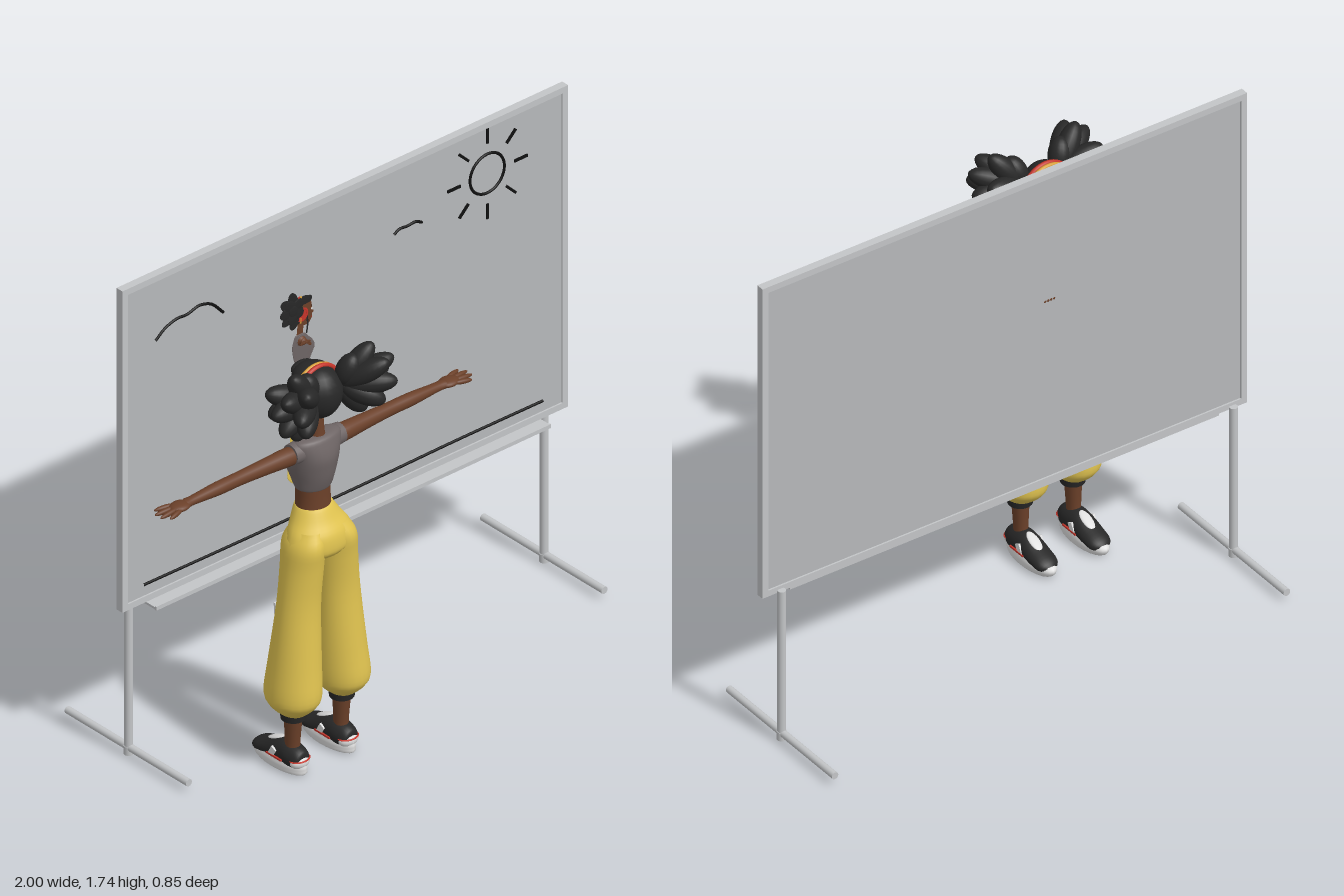
import * as THREE from 'three';

const mat = (name, color) => Object.assign(new THREE.MeshStandardMaterial({ color }), { name });
const M = {
  skin: mat('brown skin', 0x6b4029),
  black: mat('soft black', 0x272727),
  top: mat('warm grey cloth', 0x6e6565),
  pants: mat('yellow cloth', 0xe0c350),
  red: mat('red', 0xc6352a),
  white: mat('off white', 0xdedede),
  metal: mat('light metal', 0xc3c5c7),
  panel: mat('board grey', 0xb6b8ba),
  gold: mat('gold', 0xd9a036),
  ink: mat('marker ink', 0x101010),
};

function add(parent, name, geo, material, x = 0, y = 0, z = 0) {
  const m = new THREE.Mesh(geo, material);
  m.name = name;
  m.position.set(x, y, z);
  parent.add(m);
  return m;
}

const V = (x, y, z) => new THREE.Vector3(x, y, z);

// Smooth loft up the y axis; each section is [y, cx, cz, rx, rz]
function loft(sections, n = 24, sub = 4) {
  const mid = new THREE.CatmullRomCurve3(sections.map(s => V(s[1], s[0], s[2])), false, 'catmullrom', 0.5);
  const rad = new THREE.CatmullRomCurve3(sections.map(s => V(s[3], 0, s[4])), false, 'catmullrom', 0.5);
  const rows = (sections.length - 1) * sub;
  const pos = [], idx = [];
  for (let r = 0; r <= rows; r++) {
    const c = mid.getPoint(r / rows), q = rad.getPoint(r / rows);
    for (let i = 0; i < n; i++) {
      const a = (i / n) * Math.PI * 2;
      pos.push(c.x + Math.max(q.x, 0) * Math.cos(a), c.y, c.z + Math.max(q.z, 0) * Math.sin(a));
      if (r < rows) {
        const j = (i + 1) % n, p = r * n;
        idx.push(p + i, p + n + i, p + j, p + j, p + n + i, p + n + j);
      }
    }
  }
  const g = new THREE.BufferGeometry();
  g.setAttribute('position', new THREE.Float32BufferAttribute(pos, 3));
  g.setIndex(idx);
  g.computeVertexNormals();
  return g;
}

const tube = (pts, r, seg = 16) =>
  new THREE.TubeGeometry(new THREE.CatmullRomCurve3(pts.map(p => V(...p))), seg, r, 8);

const ball = (rx, ry, rz) => new THREE.SphereGeometry(1, 20, 14).scale(rx, ry, rz);

// Ellipsoid stretched between two points
function lobe(parent, name, a, b, r, material) {
  const p = V(...a), d = V(...b).sub(p), len = d.length();
  const m = add(parent, name, ball(r, len / 2, r), material);
  m.position.copy(p).addScaledVector(d, 0.5);
  m.quaternion.setFromUnitVectors(V(0, 1, 0), d.normalize());
  return m;
}

// Standing person with arms out, facing -z, centred on x = 0
function makePerson() {
  const g = new THREE.Group();

  // Torso and head
  add(g, 'waist', loft([[0.9, 0, 0.248, 0.062, 0.054], [0.96, 0, 0.246, 0.058, 0.052], [1.02, 0, 0.246, 0.06, 0.05]]), M.skin);
  add(g, 'cropTop', loft([[0.998, 0, 0.246, 0.058, 0.05], [1.0, 0, 0.246, 0.064, 0.054], [1.035, 0, 0.242, 0.072, 0.07],
    [1.075, 0, 0.237, 0.083, 0.083], [1.12, 0, 0.248, 0.088, 0.076], [1.165, 0, 0.262, 0.094, 0.05],
    [1.187, 0, 0.265, 0.075, 0.034], [1.192, 0, 0.265, 0, 0]]), M.top);
  add(g, 'neck', loft([[1.17, 0, 0.267, 0.034, 0.028], [1.2, 0, 0.266, 0.024, 0.023], [1.28, 0, 0.255, 0.025, 0.026]], 16), M.skin);
  add(g, 'head', loft([[1.235, 0, 0.222, 0, 0], [1.24, 0, 0.222, 0.02, 0.024], [1.27, 0, 0.232, 0.052, 0.055],
    [1.32, 0, 0.245, 0.066, 0.072], [1.37, 0, 0.25, 0.064, 0.07], [1.41, 0, 0.25, 0.045, 0.05], [1.425, 0, 0.25, 0, 0]]), M.skin);
  add(g, 'nose', ball(0.01, 0.011, 0.014), M.skin, 0, 1.305, 0.176);
  add(g, 'lips', ball(0.019, 0.007, 0.009), M.red, 0, 1.272, 0.182);

  // Hair cap, fringe and loose strands
  add(g, 'hairCap', ball(0.076, 0.088, 0.072), M.black, 0, 1.346, 0.277);
  add(g, 'hairTop', ball(0.068, 0.042, 0.068), M.black, 0, 1.392, 0.247);
  add(g, 'fringe', ball(0.045, 0.022, 0.024), M.black, 0, 1.4, 0.198);

  // Headphone band
  add(g, 'headBand', new THREE.TorusGeometry(0.084, 0.008, 8, 32, Math.PI), M.red, 0, 1.35, 0.272);
  add(g, 'headBandTrim', new THREE.TorusGeometry(0.084, 0.007, 8, 32, Math.PI), M.gold, 0, 1.349, 0.258);

  // Pelvis
  add(g, 'hips', loft([[0.775, 0, 0.272, 0.09, 0.07], [0.8, 0, 0.275, 0.125, 0.081], [0.85, 0, 0.272, 0.112, 0.079],
    [0.89, 0, 0.258, 0.086, 0.068], [0.928, 0, 0.248, 0.063, 0.057], [0.93, 0, 0.248, 0.056, 0.05]]), M.pants);

  for (const s of [1, -1]) {
    // Baggy trouser leg, knee patch and cuff
    add(g, 'trouserLeg', loft([[0.21, 0.1 * s, 0.268, 0.035, 0.04], [0.22, 0.1 * s, 0.267, 0.048, 0.054],
      [0.25, 0.1 * s, 0.266, 0.076, 0.085], [0.29, 0.1 * s, 0.266, 0.086, 0.099], [0.4, 0.093 * s, 0.267, 0.082, 0.087],
      [0.6, 0.081 * s, 0.271, 0.072, 0.068], [0.74, 0.07 * s, 0.274, 0.066, 0.073], [0.82, 0.064 * s, 0.275, 0.06, 0.08],
      [0.87, 0.05 * s, 0.272, 0.045, 0.06]]), M.pants);
    const patch = add(g, 'kneePatch', new THREE.BoxGeometry(0.055, 0.055, 0.008), M.white, 0.084 * s, 0.55, 0.194);
    patch.rotation.x = -0.08;
    add(g, 'cuff', new THREE.CylinderGeometry(0.045, 0.04, 0.032, 24), M.black, 0.1 * s, 0.207, 0.268);
    add(g, 'ankle', loft([[0.05, 0.1 * s, 0.262, 0.024, 0.03], [0.1, 0.1 * s, 0.264, 0.023, 0.026],
      [0.2, 0.1 * s, 0.267, 0.028, 0.032]], 16), M.skin);

    // Shoe
    const shoe = new THREE.Group();
    shoe.name = 'shoe';
    shoe.position.x = 0.1 * s;
    g.add(shoe);
    add(shoe, 'sole', loft([[0, 0, 0.212, 0, 0], [0.001, 0, 0.212, 0.038, 0.1], [0.02, 0, 0.205, 0.046, 0.119],
      [0.036, 0, 0.206, 0.045, 0.116], [0.044, 0, 0.215, 0.038, 0.1], [0.045, 0, 0.215, 0, 0]]), M.white);
    add(shoe, 'upper', loft([[-0.317, 0, 0.05, 0, 0], [-0.312, 0, 0.052, 0.028, 0.03], [-0.275, 0, 0.054, 0.041, 0.042],
      [-0.225, 0, 0.055, 0.041, 0.046], [-0.165, 0, 0.045, 0.043, 0.031], [-0.115, 0, 0.036, 0.036, 0.02],
      [-0.09, 0, 0.032, 0, 0]]).rotateX(-Math.PI / 2), M.black);
    add(shoe, 'heelPanel', ball(0.037, 0.026, 0.028), M.white, 0, 0.046, 0.296);
    add(shoe, 'heelStripe', ball(0.039, 0.005, 0.03), M.red, 0, 0.054, 0.296);
    const tongue = add(shoe, 'tongue', ball(0.018, 0.006, 0.04), M.white, 0, 0.085, 0.19);
    tongue.rotation.x = -0.42;
    for (const e of [1, -1]) {
      const strap = add(shoe, 'sideStrap', new THREE.BoxGeometry(0.007, 0.035, 0.022), M.white, 0.041 * e, 0.058, 0.215);
      strap.rotation.x = 0.5;
      add(shoe, 'sideStripe', new THREE.BoxGeometry(0.006, 0.006, 0.07), M.red, 0.043 * e, 0.046, 0.225);
    }

    // Arm and sleeve
    const arm = loft([[0.07, 0, 0.258, 0.024, 0.026], [0.11, 0, 0.257, 0.031, 0.03], [0.2, 0, 0.254, 0.027, 0.026],
      [0.31, 0, 0.252, 0.023, 0.022], [0.4, 0, 0.252, 0.022, 0.022], [0.5, 0, 0.252, 0.015, 0.017],
      [0.535, 0, 0.252, 0.014, 0.02]], 16);
    // the loft runs up y, so lay it along x
    add(g, 'arm', arm.rotateZ(-s * Math.PI / 2), M.skin, 0, 1.143, 0);
    add(g, 'sleeve', new THREE.CylinderGeometry(0.034, 0.037, 0.035, 20).rotateZ(-s * Math.PI / 2), M.top, 0.085 * s, 1.147, 0.258);

    // Hand
    add(g, 'palm', ball(0.038, 0.013, 0.029), M.skin, 0.555 * s, 1.143, 0.252);
    const tips = [[0.628, 0.214], [0.645, 0.237], [0.643, 0.262], [0.623, 0.285]];
    tips.forEach(([x, z], i) =>
      lobe(g, 'finger', [0.56 * s, 1.143, 0.234 + i * 0.012], [x * s, 1.138, z], 0.0085, M.skin));
    lobe(g, 'thumb', [0.535 * s, 1.14, 0.238], [0.588 * s, 1.112, 0.205], 0.0095, M.skin);

    // Face details, ear cup and earring
    add(g, 'eyeWhite', ball(0.014, 0.009, 0.004), M.white, 0.027 * s, 1.326, 0.179).rotation.y = s * 0.35;
    add(g, 'pupil', ball(0.007, 0.008, 0.003), M.ink, 0.026 * s, 1.326, 0.1755);
    add(g, 'eyebrow', ball(0.017, 0.004, 0.004), M.black, 0.028 * s, 1.347, 0.182).rotation.z = s * 0.12;
    add(g, 'earCup', new THREE.CylinderGeometry(0.038, 0.046, 0.024, 28).rotateZ(-s * Math.PI / 2), M.red, 0.074 * s, 1.315, 0.252);
    add(g, 'earCupRim', new THREE.TorusGeometry(0.04, 0.006, 8, 28).rotateY(Math.PI / 2), M.red, 0.086 * s, 1.315, 0.252);
    add(g, 'earring', new THREE.TorusGeometry(0.015, 0.005, 8, 20), M.gold, 0.09 * s, 1.278, 0.262);
    add(g, 'strand', tube([[0.052 * s, 1.3, 0.215], [0.06 * s, 1.24, 0.21], [0.055 * s, 1.18, 0.218]], 0.006), M.black);

    // Bunch of hair lobes
    const lobes = [[0.238, 1.37, 0.33], [0.165, 1.488, 0.34], [0.225, 1.43, 0.37], [0.21, 1.295, 0.34], [0.145, 1.245, 0.325],
      [0.1, 1.465, 0.33], [0.17, 1.45, 0.41], [0.2, 1.37, 0.418], [0.165, 1.3, 0.4], [0.215, 1.42, 0.27], [0.2, 1.33, 0.265]];
    for (const t of lobes) lobe(g, 'hairLobe', [0.065 * s, 1.36, 0.3], [t[0] * s, t[1], t[2]], 0.037, M.black);
  }
  return g;
}

function makeBoard() {
  const g = new THREE.Group();
  g.name = 'whiteboard';
  const cx = 0.08, cy = 1.147, w = 1.84, h = 1.176, z = -0.112;
  add(g, 'panel', new THREE.BoxGeometry(w - 0.03, h - 0.03, 0.016), M.panel, cx, cy, z);
  for (const s of [1, -1]) {
    add(g, 'frameRail', new THREE.BoxGeometry(w, 0.022, 0.028), M.metal, cx, cy + s * (h / 2 - 0.011), z);
    add(g, 'frameSide', new THREE.BoxGeometry(0.022, h - 0.044, 0.028), M.metal, cx + s * (w / 2 - 0.011), cy, z);
    // Stand
    const x = 0.075 + s * 0.858;
    add(g, 'standPost', new THREE.CylinderGeometry(0.014, 0.014, 0.565, 20), M.metal, x, 0.2875, -0.134);
    add(g, 'standFoot', new THREE.CylinderGeometry(0.0125, 0.0125, 0.572, 20).rotateX(Math.PI / 2), M.metal, x, 0.03, -0.136);
    add(g, 'postBase', new THREE.CylinderGeometry(0.016, 0.016, 0.03, 20), M.metal, x, 0.02, -0.134);
  }
  // Pen tray
  add(g, 'tray', new THREE.BoxGeometry(1.63, 0.008, 0.065), M.metal, 0.077, 0.551, -0.088);
  add(g, 'trayLip', new THREE.BoxGeometry(1.63, 0.014, 0.006), M.metal, 0.077, 0.552, -0.058);

  // Marker drawings: ground, sun, cloud and bird
  const d = new THREE.Group();
  d.name = 'drawing';
  d.position.z = -0.103;
  g.add(d);
  add(d, 'groundLine', tube([[-0.75, 0.622, 0], [-0.3, 0.618, 0], [0.2, 0.618, 0], [0.55, 0.621, 0], [0.9, 0.619, 0]], 0.005, 40), M.ink);
  add(d, 'sunRing', new THREE.TorusGeometry(0.071, 0.005, 8, 40), M.ink, 0.67, 1.545, 0);
  for (let i = 0; i < 8; i++) {
    const a = (i * Math.PI) / 4, c = Math.cos(a), s = Math.sin(a);
    const ray = add(d, 'sunRay', new THREE.BoxGeometry(0.054, 0.009, 0.009), M.ink, 0.67 + 0.138 * c, 1.545 + 0.138 * s, 0);
    ray.rotation.z = a;
  }
  add(d, 'cloudLine', tube([[-0.7, 1.495, 0], [-0.66, 1.525, 0], [-0.61, 1.54, 0], [-0.57, 1.538, 0], [-0.52, 1.55, 0],
    [-0.47, 1.535, 0], [-0.42, 1.485, 0]], 0.005, 36), M.ink);
  add(d, 'birdLine', tube([[0.285, 1.478, 0], [0.305, 1.49, 0], [0.34, 1.488, 0], [0.375, 1.49, 0], [0.4, 1.477, 0]], 0.005, 24), M.ink);
  return g;
}

export function createModel() {
  const root = new THREE.Group();
  root.name = 'personAtWhiteboard';
  root.add(makeBoard());

  const person = makePerson();
  person.name = 'person';
  person.position.x = -0.355;
  root.add(person);

  // Flat portrait on the board: the same figure in profile, squashed in depth
  const portrait = new THREE.Group();
  portrait.name = 'portrait';
  const profile = makePerson();
  profile.name = 'profileFigure';
  profile.rotation.y = -Math.PI / 2;
  portrait.add(profile);
  portrait.scale.set(0.55, 0.55, 0.028);
  portrait.position.set(0.043, 0.62, -0.103);
  root.add(portrait);
  return root;
}
